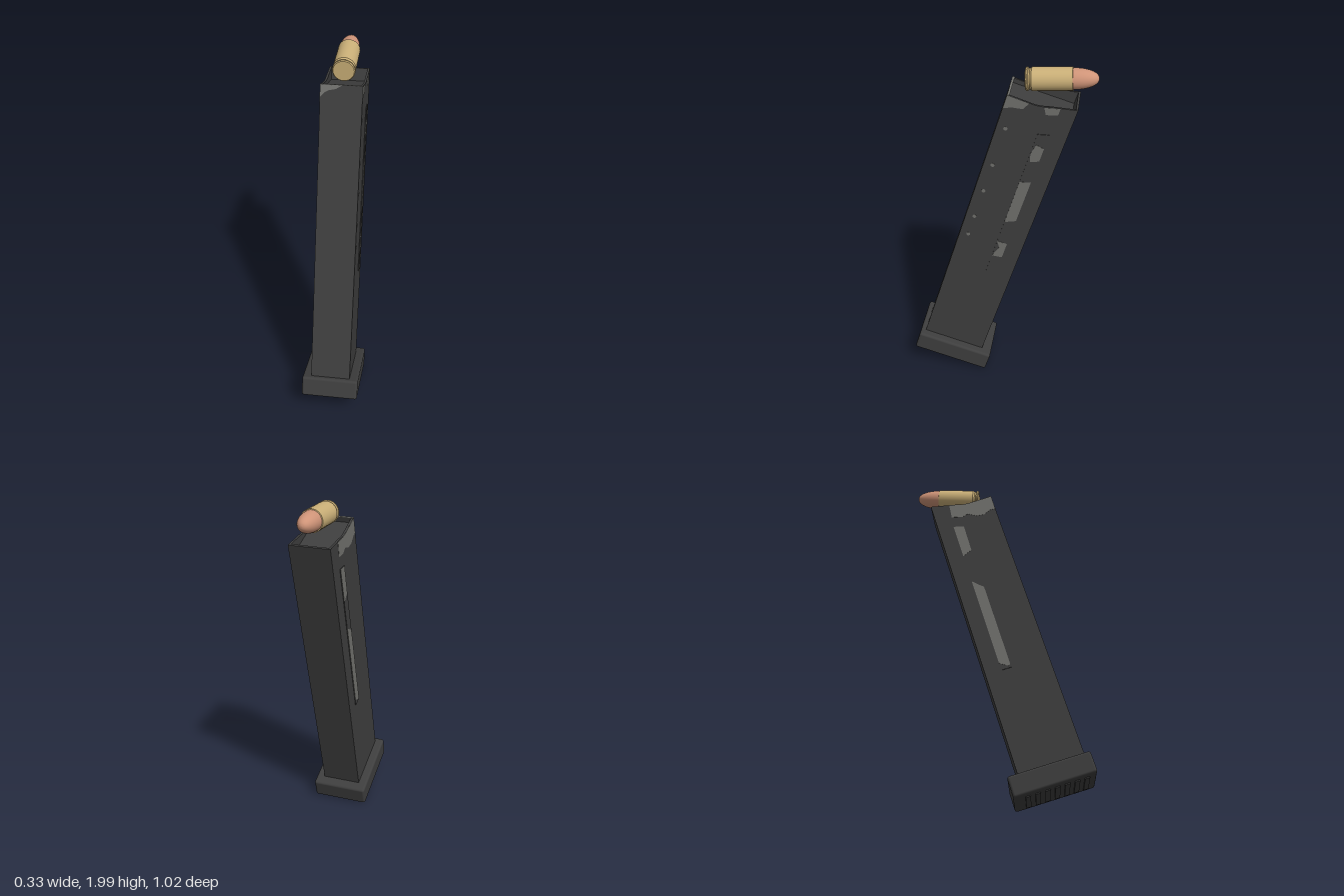
import * as THREE from 'three';
import { RoundedBoxGeometry } from 'three/addons/geometries/RoundedBoxGeometry.js';

const material = (name, color) => {
  const m = new THREE.MeshStandardMaterial({ color });
  m.name = name;
  return m;
};

export function createModel() {
  const dark = material('dark steel', 0x3e3e3e);
  const worn = material('worn steel', 0x71716d);
  const brass = material('brass', 0xcbb078);
  const copper = material('copper', 0xcf9478);

  const model = new THREE.Group();
  model.name = 'magazine';
  const tilted = new THREE.Group(); // upright in its own frame, leaning back
  tilted.name = 'tiltedMagazine';
  tilted.rotation.x = -0.297;
  model.add(tilted);

  const add = (parent, name, geometry, mat) => {
    const mesh = new THREE.Mesh(geometry, mat);
    mesh.name = name;
    parent.add(mesh);
    return mesh;
  };
  const box = (name, x0, x1, y0, y1, z0, z1, mat) =>
    add(tilted, name, new THREE.BoxGeometry(x1 - x0, y1 - y0, z1 - z0), mat)
      .position.set((x0 + x1) / 2, (y0 + y1) / 2, (z0 + z1) / 2);
  const polygon = pts => new THREE.Shape(pts.map(p => new THREE.Vector2(...p)));
  // Plate drawn in (z, y), its inner face at |x| = inner
  const sidePlate = (name, shape, side, inner, depth, mat) => {
    const g = new THREE.ExtrudeGeometry(shape, { depth, bevelEnabled: false, curveSegments: 8 });
    g.rotateY(-Math.PI / 2);
    g.translate(side > 0 ? inner + depth : -inner, 0, 0);
    return add(tilted, name, g, mat);
  };

  // Hollow-topped body: two side walls with a dipped lip, front, back and follower
  const W = 0.113, T = 0.012, Z0 = 0.133, Z1 = 0.501;
  const wall = new THREE.Shape();
  wall.moveTo(Z0, 0.07);
  wall.lineTo(Z1, 0.07);
  wall.lineTo(Z1, 1.807);
  wall.lineTo(0.36, 1.803);
  wall.quadraticCurveTo(0.32, 1.803, 0.28, 1.818);
  wall.lineTo(Z0, 1.852);
  for (const side of [1, -1]) {
    sidePlate(side > 0 ? 'leftWall' : 'rightWall', wall, side, W - T, T, dark);
    // Raised rib along each side
    const rib = polygon([[0.225, 0.69], [0.283, 0.69], [0.285, 1.65], [0.225, 1.668]]);
    sidePlate(side > 0 ? 'leftRib' : 'rightRib', rib, side, W, 0.004, dark);
  }
  box('frontWall', -W + T, W - T, 0.07, 1.807, Z1 - T, Z1, dark);
  box('backWall', -W + T, W - T, 0.07, 1.852, Z0, Z0 + T, dark);
  box('follower', -W + T, W - T, 0.07, 1.78, Z0 + T, Z1 - T, dark);
  box('frontLipWear', -W, W, 1.806, 1.809, Z1 - T, Z1, worn);

  // Worn patches on the ribs
  const ribWear = {
    '-1': [
      [[0.225, 1.453], [0.282, 1.479], [0.285, 1.65], [0.225, 1.667]],
      [[0.225, 0.733], [0.27, 0.702], [0.283, 0.71], [0.283, 1.219], [0.26, 1.24], [0.225, 1.276]],
    ],
    '1': [
      [[0.225, 1.5], [0.27, 1.48], [0.284, 1.53], [0.27, 1.59], [0.225, 1.58]],
      [[0.225, 1.09], [0.283, 1.06], [0.284, 1.34], [0.225, 1.36]],
      [[0.225, 0.82], [0.283, 0.81], [0.26, 0.88], [0.284, 0.92], [0.225, 0.92]],
    ],
  };
  // Worn patches under the lip
  const lipWear = {
    '-1': [
      [[0.501, 1.712], [0.501, 1.806], [0.36, 1.802], [0.31, 1.806], [0.242, 1.825],
        [0.233, 1.738], [0.295, 1.719], [0.331, 1.73], [0.38, 1.7], [0.425, 1.695], [0.47, 1.715]],
    ],
    '1': [
      [[0.501, 1.73], [0.501, 1.806], [0.38, 1.802], [0.4, 1.76], [0.45, 1.75]],
      [[0.28, 1.77], [0.3, 1.806], [0.22, 1.83], [0.22, 1.79]],
    ],
  };
  for (const side of [1, -1]) {
    for (const p of ribWear[side]) sidePlate('ribWear', polygon(p), side, W + 0.003, 0.002, worn);
    for (const p of lipWear[side]) sidePlate('lipWear', polygon(p), side, W - 0.001, 0.002, worn);
  }

  // Worn corner on the front face
  const corner = polygon([[-W, 1.74], [-0.09, 1.765], [-0.07, 1.777], [-0.03, 1.786],
    [0.005, 1.807], [-W, 1.807]]);
  add(tilted, 'frontCornerWear',
    new THREE.ExtrudeGeometry(corner, { depth: 0.002, bevelEnabled: false }), worn)
    .position.z = Z1 - 0.001;

  // Small chips along the left front edge
  for (const y of [1.62, 1.385, 1.21, 1.03, 0.9]) {
    const chip = new THREE.Shape();
    chip.absarc(0.452, y, 0.011, 0, Math.PI * 2);
    sidePlate('edgeChip', chip, 1, W - 0.001, 0.002, worn);
  }

  // Base plate with grip ridges underneath
  add(tilted, 'basePlate', new RoundedBoxGeometry(0.326, 0.119, 0.457, 3, 0.014), dark)
    .position.set(0, 0.0355, 0.3015);
  for (let i = 0; i < 7; i++) {
    const z = 0.15 + i * 0.054;
    box('gripRidge', -0.115, 0.115, -0.03, -0.02, z - 0.014, z + 0.014, dark);
  }

  // Cartridge lying over the open top, pointing back
  const cartridge = new THREE.Group();
  cartridge.name = 'cartridge';
  cartridge.position.set(0, 1.917, -0.132);
  cartridge.rotation.x = -Math.PI / 2 + 0.066;
  model.add(cartridge);

  // Duplicate the points at corners so that each band keeps a sharp edge
  const bands = (name, pts, mat) => {
    for (let i = 0; i < pts.length - 1; i++) {
      const pair = [pts[i], pts[i + 1]].map(p => new THREE.Vector2(...p));
      add(cartridge, name, new THREE.LatheGeometry(pair, 32), mat);
    }
  };
  bands('case', [[0, 0], [0.057, 0], [0.062, 0.005], [0.062, 0.012], [0.055, 0.016],
    [0.055, 0.024], [0.062, 0.034], [0.061, 0.244], [0.054, 0.246]], brass);

  const nose = [];
  for (let i = 0; i <= 12; i++) {
    const a = (i / 12) * Math.PI / 2;
    nose.push(new THREE.Vector2(i === 12 ? 0 : 0.056 * Math.cos(a) ** 0.9, 0.244 + 0.134 * Math.sin(a)));
  }
  add(cartridge, 'bullet', new THREE.LatheGeometry(nose, 32), copper);

  return model;
}
